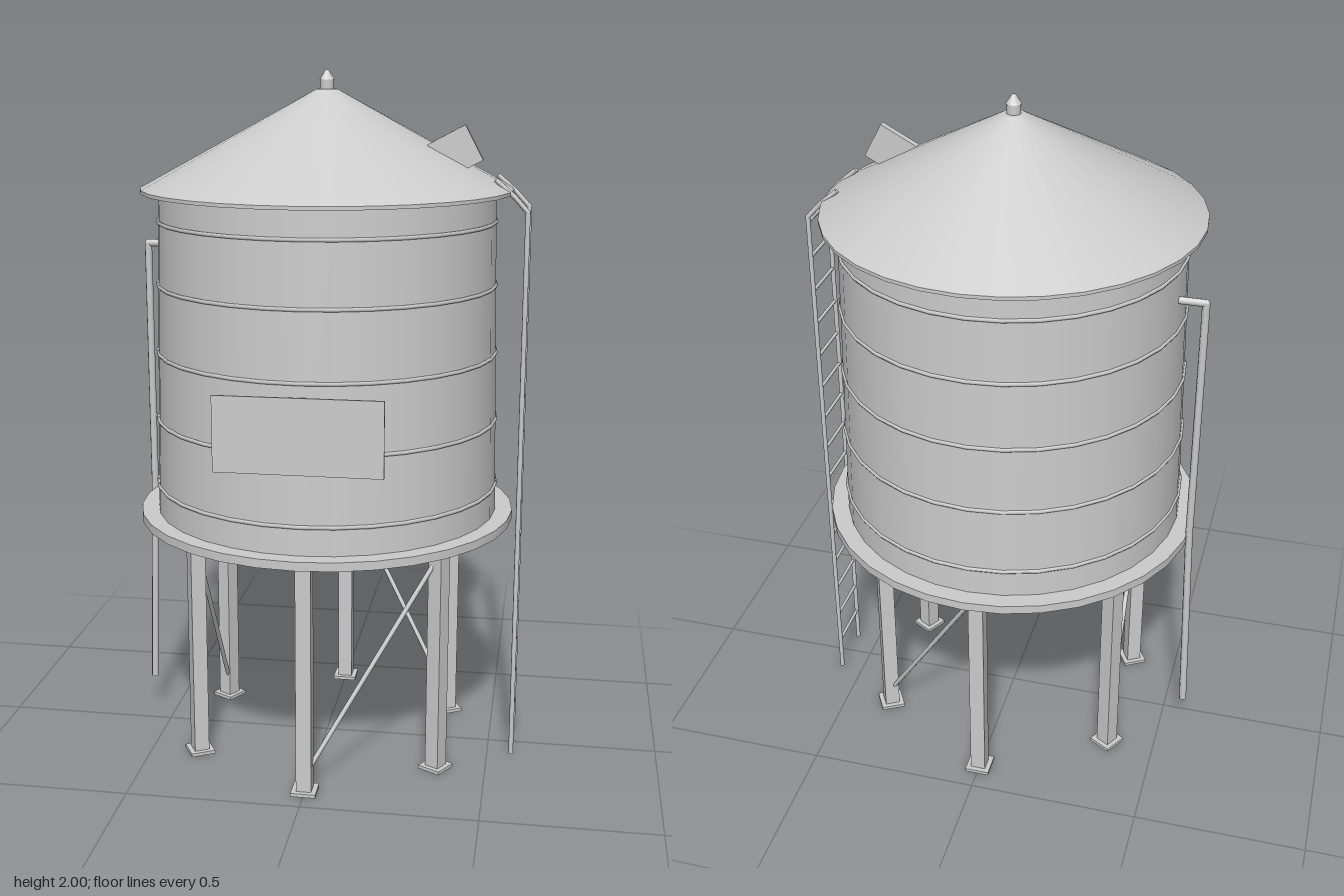
import * as THREE from 'three';

export function createModel() {
  const model = new THREE.Group();
  model.name = 'waterTower';
  const steel = new THREE.MeshStandardMaterial({ color: 0xcccccc });
  steel.name = 'greySteel';

  const add = (name, geometry, x = 0, y = 0, z = 0, parent = model) => {
    const mesh = new THREE.Mesh(geometry, steel);
    mesh.name = name;
    mesh.position.set(x, y, z);
    parent.add(mesh);
    return mesh;
  };
  const v = (x, y, z) => new THREE.Vector3(x, y, z);

  // Round disc or drum between two heights
  const drum = (name, rTop, rBottom, y0, y1, sides = 32) =>
    add(name, new THREE.CylinderGeometry(rTop, rBottom, y1 - y0, sides), 0, (y0 + y1) / 2, 0);

  // Round bar between two points
  const rod = (name, a, b, r, parent = model) => {
    const mesh = add(name, new THREE.CylinderGeometry(r, r, a.distanceTo(b), 8), 0, 0, 0, parent);
    mesh.position.copy(a).add(b).multiplyScalar(0.5);
    mesh.quaternion.setFromUnitVectors(v(0, 1, 0), b.clone().sub(a).normalize());
    return mesh;
  };

  // Platform, tapered tank and hoops
  drum('platform', 0.55, 0.55, 0.715, 0.74);
  drum('tank', 0.48, 0.5, 0.74, 1.67);
  [0.82, 1.015, 1.21, 1.405, 1.585].forEach((y) => {
    const r = 0.5 - (0.02 * (y - 0.74)) / 0.93;
    const hoop = add('tankHoop', new THREE.TorusGeometry(r, 0.006, 6, 32), 0, y, 0);
    hoop.rotation.x = Math.PI / 2;
  });

  // Roof with thin eave and finial
  drum('roofEave', 0.53, 0.53, 1.665, 1.675);
  drum('roof', 0.03, 0.53, 1.675, 1.947);
  drum('finialPost', 0.02, 0.02, 1.94, 1.975, 12);
  drum('finialCap', 0.004, 0.022, 1.973, 2.0, 12);

  // Roof hatch, square to the slope
  add('roofHatch', new THREE.BoxGeometry(0.117, 0.108, 0.021), 0.368, 1.781, 0.07).rotation.z = 0.49;

  // Front sign plate
  add('signPlate', new THREE.BoxGeometry(0.46, 0.21, 0.006), 0, 1.07, 0.503);

  // Six legs on a hexagon, with feet, ring beams and alternate braces
  const legR = 0.41;
  const onRing = (k, y, r = legR) => {
    const a = (k * Math.PI) / 3;
    return v(Math.sin(a) * r, y, Math.cos(a) * r);
  };
  for (let k = 0; k < 6; k++) {
    const angle = (k * Math.PI) / 3;
    const p = onRing(k, 0);
    const leg = new THREE.Group();
    leg.name = 'leg';
    leg.position.copy(p);
    leg.rotation.y = angle;
    model.add(leg);
    add('legPost', new THREE.BoxGeometry(0.044, 0.72, 0.044), 0, 0.36, 0, leg);
    add('footPlate', new THREE.BoxGeometry(0.072, 0.01, 0.072), 0, 0.005, 0, leg);

    const mid = p.clone().add(onRing(k + 1, 0)).multiplyScalar(0.5);
    const beam = add('ringBeam', new THREE.BoxGeometry(legR, 0.05, 0.03), mid.x, 0.692, mid.z);
    beam.rotation.y = angle + Math.PI / 6;

    if (k % 2 === 0) rod('crossBrace', onRing(k, 0.05), onRing(k + 1, 0.66), 0.007);
  }

  // Ladder: two rails bent over the eave, and rungs
  const ladder = new THREE.Group();
  ladder.name = 'ladder';
  model.add(ladder);
  [-0.078, 0.078].forEach((z) => {
    const path = new THREE.CurvePath();
    const pts = [[0.571, 0], [0.571, 1.62], [0.535, 1.66], [0.48, 1.708]].map(([x, y]) => v(x, y, z));
    for (let i = 0; i < 3; i++) {
      rod('ladderRail', pts[i], pts[i + 1], 0.007, ladder);
      if (i) add('railJoint', new THREE.SphereGeometry(0.007, 8, 6), pts[i].x, pts[i].y, z, ladder);
    }
  });
  for (let i = 0; i < 15; i++) {
    const y = 0.11 + i * 0.1068;
    rod('ladderRung', v(0.571, y, -0.078), v(0.571, y, 0.078), 0.005, ladder);
  }

  // Drain pipe from the upper tank wall
  const pipe = new THREE.Group();
  pipe.name = 'drainPipe';
  model.add(pipe);
  const pz = -0.072;
  const bends = [v(-0.47, 1.495, pz), v(-0.549, 1.495, pz), v(-0.549, 0.74, pz), v(-0.567, 0.11, pz)];
  for (let i = 0; i < 3; i++) {
    rod('pipeLength', bends[i], bends[i + 1], 0.011, pipe);
    if (i) add('pipeElbow', new THREE.SphereGeometry(0.011, 10, 8), bends[i].x, bends[i].y, pz, pipe);
  }

  return model;
}
